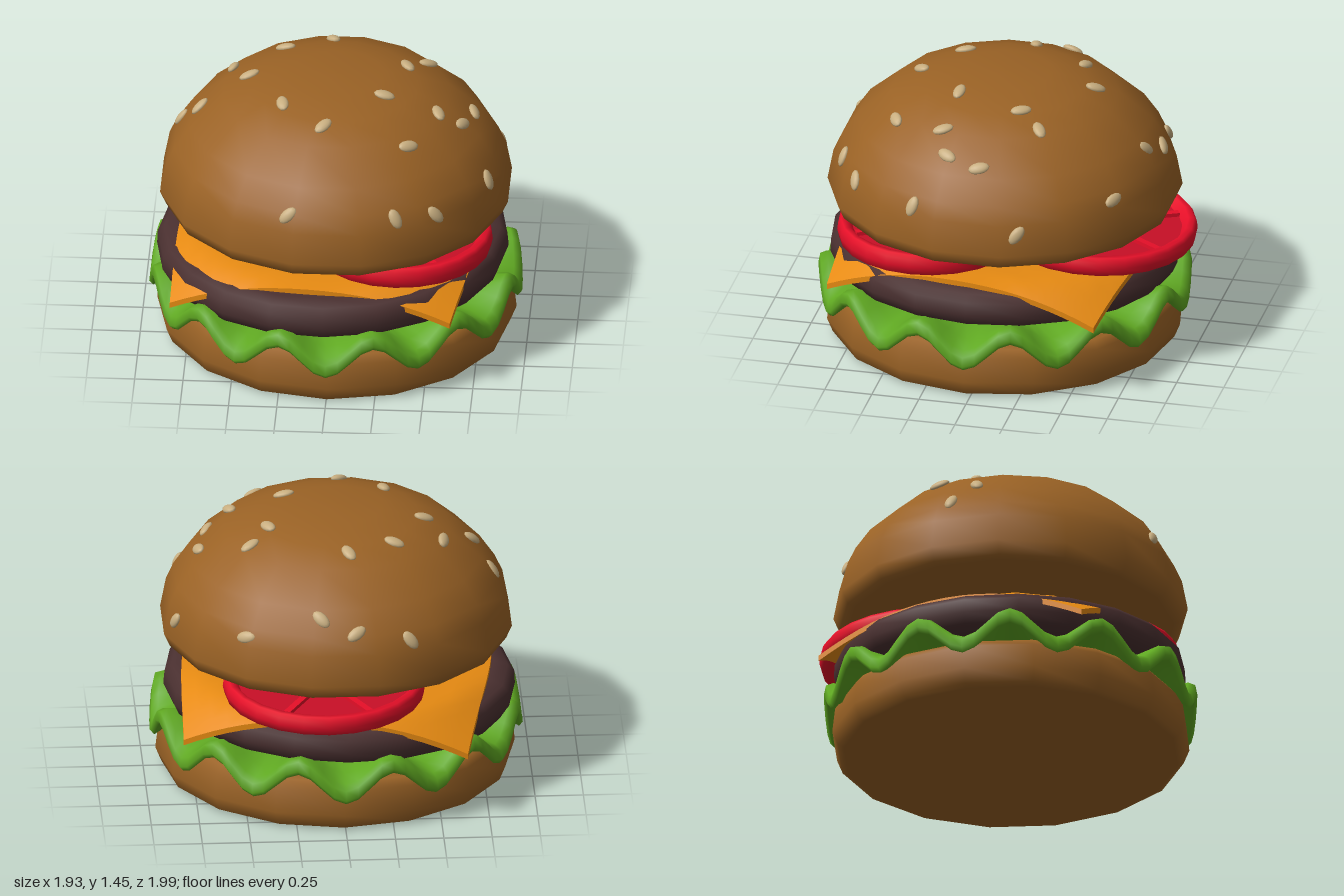
import * as THREE from 'three';
import { mergeVertices } from 'three/addons/utils/BufferGeometryUtils.js';

const paint = (name, color) => {
  const m = new THREE.MeshStandardMaterial({ color });
  m.name = name;
  return m;
};

// Turned shape from [radius, height] pairs, bottom to top
const turned = (profile, sides, start = 0) =>
  new THREE.LatheGeometry(profile.map(([r, y]) => new THREE.Vector2(r, y)), sides, start);

export function createModel() {
  const crust = paint('crust brown', 0x9a6225);
  const seedTan = paint('sesame tan', 0xc8ae80);
  const leafGreen = paint('lettuce green', 0x60a922);
  const meat = paint('patty brown', 0x4a3030);
  const cheeseOrange = paint('cheese orange', 0xe68a12);
  const skinRed = paint('tomato red', 0xe60f28);
  const fleshRed = paint('tomato flesh red', 0xc80f26);

  const burger = new THREE.Group();
  burger.name = 'burger';
  const Z = 0.03; // centre of the buns
  const add = (name, geometry, material, parent = burger) => {
    const mesh = new THREE.Mesh(geometry, material);
    mesh.name = name;
    parent.add(mesh);
    return mesh;
  };

  // Bottom bun
  add('bottomBun', turned([[0, 0], [0.87, 0], [0.9, 0.015], [0.93, 0.09], [0.915, 0.22],
    [0.88, 0.26], [0.8, 0.275], [0, 0.275]], 16), crust).position.set(0.005, 0, Z);

  // Lettuce: thin disc whose rim ripples in twelve waves
  const leaf = turned([[0, 0.295], [0.68, 0.295], [0.86, 0.285], [0.945, 0.245], [0.965, 0.27],
    [0.955, 0.32], [0.92, 0.34], [0.84, 0.345], [0.68, 0.325], [0, 0.32]], 96);
  const lp = leaf.attributes.position;
  for (let i = 0; i < lp.count; i++) {
    const x = lp.getX(i), z = lp.getZ(i);
    const amp = 0.08 * THREE.MathUtils.clamp((Math.hypot(x, z) - 0.65) / 0.3, 0, 1);
    lp.setY(i, lp.getY(i) - amp * Math.cos(12 * Math.atan2(z, x)));
  }
  leaf.deleteAttribute('uv');
  leaf.deleteAttribute('normal');
  const lettuceGeometry = mergeVertices(leaf, 1e-4);
  lettuceGeometry.computeVertexNormals();
  add('lettuce', lettuceGeometry, leafGreen).position.z = Z;

  // Patty, leaning slightly
  const patty = add('patty', turned([[0, 0.355], [0.82, 0.355], [0.885, 0.375], [0.91, 0.43],
    [0.905, 0.5], [0.87, 0.535], [0.8, 0.555], [0, 0.56]], 20), meat);
  patty.position.set(-0.005, 0, Z);
  patty.rotation.z = 0.025;

  // Cheese: square slice with its corners draped over the patty
  const slice = new THREE.BoxGeometry(1.6, 0.03, 1.6, 18, 1, 18);
  const cp = slice.attributes.position;
  for (let i = 0; i < cp.count; i++) {
    const x = cp.getX(i), z = cp.getZ(i), r = Math.hypot(x, z);
    const t = Math.max(0, (r - 0.78) / 0.35);
    const k = r > 0 ? (Math.min(r, 0.78) + 0.26 * t) / r : 1;
    cp.setXYZ(i, x * k, cp.getY(i) + 0.575 + 0.02 * x - 0.18 * Math.pow(t, 1.1), z * k);
  }
  slice.computeVertexNormals();
  add('cheese', slice, cheeseOrange).rotation.y = -0.13;

  // Tomato slices: raised rim, sunken flesh and radial ribs
  const tomato = (name, x, y, z, r, h, tilt) => {
    const g = new THREE.Group();
    g.name = name;
    add('skin', turned([[0, -h], [r - 0.04, -h], [r - 0.01, -h + 0.015], [r, 0], [r - 0.005, h - 0.02],
      [r - 0.02, h], [r - 0.05, h], [r - 0.08, h - 0.045]], 24), skinRed, g);
    add('flesh', turned([[r - 0.08, h - 0.045], [0, h - 0.045]], 24), fleshRed, g);
    for (let i = 0; i < 6; i++) {
      const a = (i * Math.PI) / 3, len = r - 0.08;
      const rib = add('rib', new THREE.BoxGeometry(len, 0.03, 0.035), skinRed, g);
      rib.position.set((Math.cos(a) * len) / 2, h - 0.04, (Math.sin(a) * len) / 2);
      rib.rotation.y = -a;
    }
    g.position.set(x, y, z);
    g.rotation.x = tilt;
    burger.add(g);
  };
  tomato('frontTomato', 0.35, 0.668, 0.345, 0.48, 0.06, 0);
  tomato('backTomato', 0.09, 0.655, -0.475, 0.525, 0.055, -0.045);

  // Top bun
  const dome = [[0.9, 0.81], [0.87, 0.97], [0.83, 1.06], [0.75, 1.18], [0.58, 1.33], [0.42, 1.39], [0.24, 1.438], [0, 1.44]];
  const widen = 1 / Math.cos(Math.PI / 16);
  const crown = [[0, 0.73], [0.83, 0.73], [0.87, 0.74], ...dome];
  add('topBun', turned(crown.map(([r, y]) => [r * widen, y]), 16, Math.PI / 16), crust).position.z = Z;

  // Sesame seeds: x, z and heading in degrees, laid on the dome
  const seeds = [
    [-0.34, -0.75, 10], [-0.06, -0.79, -25], [0.12, -0.74, 35], [0.5, -0.66, 30],
    [-0.04, -0.44, 63], [-0.28, -0.33, 15], [-0.54, -0.2, -80], [0.46, -0.26, -32],
    [0.36, -0.14, 62], [0.84, -0.23, 60], [-0.8, -0.07, 15], [-0.45, -0.03, -15],
    [-0.7, 0.04, -32], [0.71, 0, 75], [0.26, 0.21, 3], [0.54, 0.23, 70],
    [0.66, 0.18, -62], [-0.26, 0.3, 78], [0.8, 0.33, 45], [-0.04, 0.48, -48],
    [0.4, 0.51, -30], [0.55, 0.69, -10], [0.35, 0.8, 28], [-0.2, 0.84, -10],
  ];
  const seedShape = new THREE.SphereGeometry(1, 12, 8).scale(0.056, 0.02, 0.032);
  const seedGroup = new THREE.Group();
  seedGroup.name = 'sesameSeeds';
  burger.add(seedGroup);
  for (const [x, z, heading] of seeds) {
    const r = Math.hypot(x, z - Z), a = Math.atan2(z - Z, x);
    const i = Math.max(1, dome.findIndex(([d]) => d <= r));
    const [r0, y0] = dome[i - 1], [r1, y1] = dome[i];
    const slope = (y1 - y0) / (r1 - r0);
    const up = new THREE.Vector3(-slope * Math.cos(a), 1, -slope * Math.sin(a)).normalize();
    const h = THREE.MathUtils.degToRad(heading);
    const along = new THREE.Vector3(Math.cos(h), slope * Math.cos(h - a), Math.sin(h)).normalize();
    const across = new THREE.Vector3().crossVectors(along, up);
    const seed = add('seed', seedShape, seedTan, seedGroup);
    seed.quaternion.setFromRotationMatrix(new THREE.Matrix4().makeBasis(along, up, across));
    seed.position.set(x, y0 + slope * (r - r0), z).addScaledVector(up, 0.006);
  }

  return burger;
}
